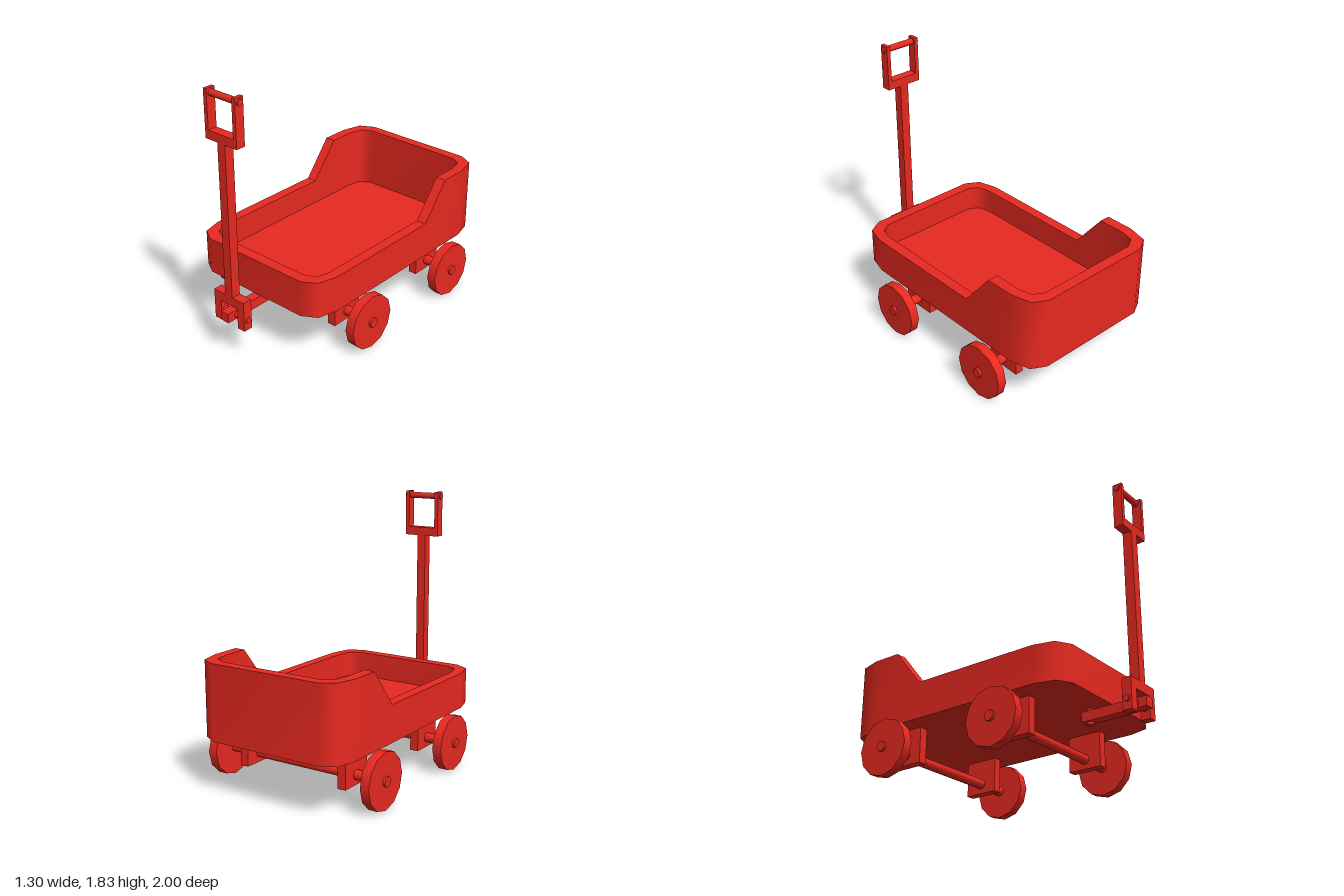
import * as THREE from 'three';

const material = new THREE.MeshStandardMaterial({ color: 0xe92920 });

function add(parent, name, geometry, x = 0, y = 0, z = 0) {
  const mesh = new THREE.Mesh(geometry, material);
  mesh.name = name;
  mesh.position.set(x, y, z);
  parent.add(mesh);
  return mesh;
}

const box = (w, h, d) => new THREE.BoxGeometry(w, h, d);
// Cylinder lying along x
const rod = (r, length, sides = 12) => new THREE.CylinderGeometry(r, r, length, sides).rotateZ(Math.PI / 2);

// Closed band of quads between two loops of points
function band(a, b, flat = false) {
  const n = a.length;
  const index = [];
  for (let i = 0; i < n; i++) {
    const j = (i + 1) % n;
    index.push(i, j, n + j, i, n + j, n + i);
  }
  let g = new THREE.BufferGeometry().setFromPoints([...a, ...b]);
  g.setIndex(index);
  if (flat) g = g.toNonIndexed();
  g.computeVertexNormals();
  return g;
}

// Plan outline of the tub, [x, z], with chamfered corners and points where the rim steps up
function outline(half) {
  return [...half, ...half.slice().reverse().map(([x, z]) => [-x, z])];
}
const outer = outline([[0.41, 0.728], [0.51, 0.67], [0.547, 0.53], [0.547, -0.39], [0.547, -0.6], [0.547, -0.8], [0.51, -0.945], [0.41, -1]]);
const inner = outline([[0.38, 0.652], [0.45, 0.61], [0.473, 0.52], [0.473, -0.39], [0.473, -0.6], [0.473, -0.79], [0.45, -0.885], [0.38, -0.928]]);

// Low sides, a slope, then a high back
const rimHeight = (z) => 0.62 + 0.26 * THREE.MathUtils.clamp((-0.39 - z) / 0.21, 0, 1);

function createTub() {
  const tub = new THREE.Group();
  tub.name = 'tub';
  const loop = (pts, y) => pts.map(([x, z]) => new THREE.Vector3(x, y ?? rimHeight(z), z));
  const centre = (y) => outer.map(() => new THREE.Vector3(0, y, -0.135));
  const base = 0.366, floor = 0.44;
  add(tub, 'outerWall', band(loop(outer, base), loop(outer)));
  add(tub, 'rim', band(loop(outer), loop(inner), true));
  add(tub, 'innerWall', band(loop(inner), loop(inner, floor)));
  add(tub, 'floor', band(loop(inner, floor), centre(floor)));
  add(tub, 'underside', band(centre(base), loop(outer, base)));
  return tub;
}

function createAxle(name, z) {
  const axle = new THREE.Group();
  axle.name = name;
  axle.position.set(0, 0.195, z);
  add(axle, 'axleRod', rod(0.034, 1.304));
  for (const s of [-1, 1]) {
    add(axle, s > 0 ? 'leftWheel' : 'rightWheel', rod(0.193, 0.064), s * 0.602);
    add(axle, s > 0 ? 'leftBracket' : 'rightBracket', box(0.06, 0.24, 0.246), s * 0.387, 0.052);
  }
  return axle;
}

// Upright pull handle: fork at the foot, pole, and a framed grip
function createHandle() {
  const handle = new THREE.Group();
  handle.name = 'handle';
  handle.position.z = 0.924;
  const depth = 0.067;
  add(handle, 'pole', box(0.065, 1.07, depth), 0, 0.985);
  add(handle, 'forkBridge', box(0.268, 0.066, depth), 0, 0.417);
  add(handle, 'gripBase', box(0.268, 0.06, depth), 0, 1.542);
  for (const s of [-1, 1]) {
    add(handle, 'forkLeg', box(0.06, 0.148, depth), s * 0.104, 0.312);
    add(handle, 'gripArm', box(0.028, 0.262, depth), s * 0.12, 1.703);
  }
  add(handle, 'forkPin', rod(0.021, 0.29), 0, 0.31);
  add(handle, 'gripBar', rod(0.022, 0.29), 0, 1.803);
  return handle;
}

export function createModel() {
  const wagon = new THREE.Group();
  wagon.name = 'wagon';
  wagon.add(createTub());
  wagon.add(createAxle('frontAxle', 0.282));
  wagon.add(createAxle('rearAxle', -0.603));
  // Steering tongue, hung from the tub on a short post
  add(wagon, 'tongue', box(0.067, 0.067, 0.474), 0, 0.312, 0.763);
  add(wagon, 'tonguePost', new THREE.CylinderGeometry(0.023, 0.023, 0.12, 12), 0, 0.318, 0.571);
  wagon.add(createHandle());
  return wagon;
}
